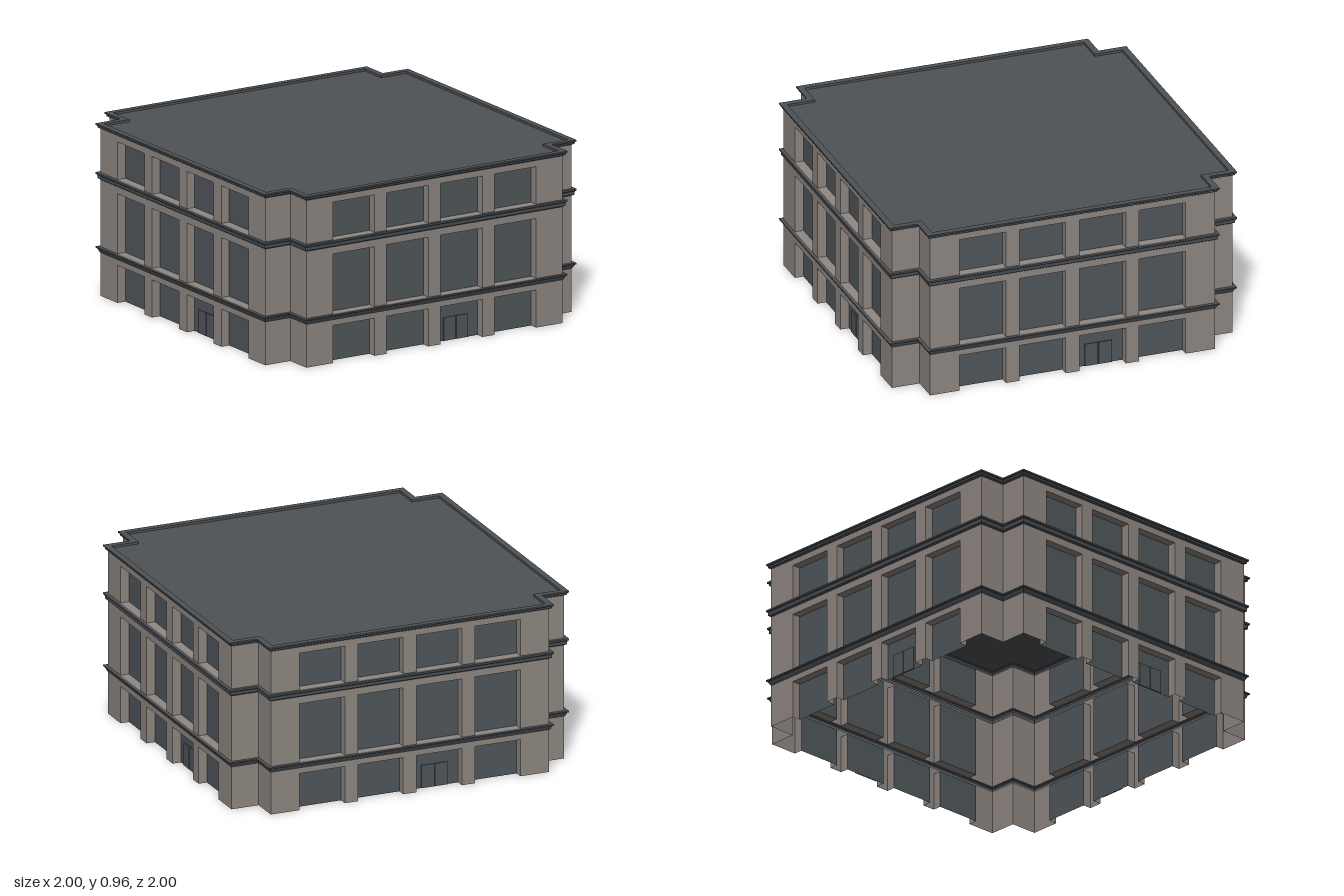
import * as THREE from 'three';

const WALL = 0.98, NOTCH = 0.82, DEPTH = 0.05, WIN_W = 0.267;
const WIN_X = [-0.517, -0.173, 0.173, 0.517];
// wall bottom, wall top, window top
const FLOORS = [
  { name: 'ground', y0: 0, y1: 0.24, win: 0.21 },
  { name: 'middle', y0: 0.275, y1: 0.65, win: 0.61 },
  { name: 'upper', y0: 0.69, y1: 0.935, win: 0.9 },
];

// Plan outline with stepped-in corners, pushed outwards by o
function ring(o) {
  const H = WALL + o, N = NOTCH + o, points = [];
  let quarter = [[-N, H], [N, H], [N, N]];
  for (let k = 0; k < 4; k++) {
    points.push(...quarter);
    quarter = quarter.map(([x, z]) => [z, -x]);
  }
  return points;
}

// Sweep an [offset, y] profile round the outline
function sweep(profile, skipFacades = false) {
  const pos = [];
  for (let j = 0; j < profile.length - 1; j++) {
    const [o0, y0] = profile[j], [o1, y1] = profile[j + 1];
    const low = ring(o0), high = ring(o1);
    for (let i = 0; i < 12; i++) {
      if (skipFacades && i % 3 === 0) continue;
      const n = (i + 1) % 12;
      const a = [low[i][0], y0, low[i][1]], b = [low[n][0], y0, low[n][1]];
      const c = [high[n][0], y1, high[n][1]], d = [high[i][0], y1, high[i][1]];
      pos.push(...a, ...b, ...c, ...a, ...c, ...d);
    }
  }
  const g = new THREE.BufferGeometry();
  g.setAttribute('position', new THREE.Float32BufferAttribute(pos, 3));
  g.computeVertexNormals();
  return g;
}

// Flat wall panel with openings rising from its lower edge
function panelGeometry({ y0, y1, win }) {
  const s = new THREE.Shape();
  s.moveTo(-NOTCH, y0);
  for (const x of WIN_X) {
    s.lineTo(x - WIN_W / 2, y0);
    s.lineTo(x - WIN_W / 2, win);
    s.lineTo(x + WIN_W / 2, win);
    s.lineTo(x + WIN_W / 2, y0);
  }
  s.lineTo(NOTCH, y0);
  s.lineTo(NOTCH, y1);
  s.lineTo(-NOTCH, y1);
  return new THREE.ShapeGeometry(s);
}

export function createModel() {
  const model = new THREE.Group();
  model.name = 'building';
  const material = (name, color) => {
    const m = new THREE.MeshStandardMaterial({ color, side: THREE.DoubleSide });
    m.name = name;
    return m;
  };
  const stone = material('stone', 0x8f8782);
  const glass = material('glass', 0x50565b);
  const slate = material('slate', 0x4e5256);
  const add = (parent, name, geometry, mat, x = 0, y = 0, z = 0) => {
    const m = new THREE.Mesh(geometry, mat);
    m.name = name;
    m.position.set(x, y, z);
    parent.add(m);
    return m;
  };

  // Four identical facades
  for (let k = 0; k < 4; k++) {
    const facade = new THREE.Group();
    facade.name = 'facade';
    facade.rotation.y = k * Math.PI / 2;
    model.add(facade);
    for (const f of FLOORS) {
      const h = f.win - f.y0, yc = f.y0 + h / 2, zc = WALL - DEPTH / 2;
      add(facade, f.name + 'Wall', panelGeometry(f), stone, 0, 0, WALL);
      for (const x of WIN_X) {
        add(facade, f.name + 'Window', new THREE.PlaneGeometry(WIN_W, h), glass, x, yc, WALL - DEPTH);
        for (const s of [-1, 1]) {
          const jamb = add(facade, 'windowJamb', new THREE.PlaneGeometry(DEPTH, h), stone, x + s * WIN_W / 2, yc, zc);
          jamb.rotation.y = -s * Math.PI / 2;
        }
        const head = add(facade, 'windowHead', new THREE.PlaneGeometry(WIN_W, DEPTH), stone, x, f.win, zc);
        head.rotation.x = Math.PI / 2;
        if (f.y0 > 0) {
          const sill = add(facade, 'windowSill', new THREE.PlaneGeometry(WIN_W, DEPTH), stone, x, f.y0, zc);
          sill.rotation.x = -Math.PI / 2;
        }
      }
    }
    // Thin double door set on the ground floor glazing
    for (const x of [0.125, 0.205]) {
      add(facade, 'doorLeaf', new THREE.BoxGeometry(0.076, 0.13, 0.006), glass, x, 0.066, WALL - DEPTH + 0.004);
    }
  }

  // Stepped corner walls
  for (const f of FLOORS) {
    add(model, f.name + 'CornerWalls', sweep([[0, f.y0], [0, f.y1]], true), stone);
  }

  // Moulded bands between floors and the roof cornice with its low kerb
  add(model, 'lowerCornice', sweep([[0, 0.24], [0.007, 0.252], [0.012, 0.264], [0.02, 0.268], [0.02, 0.275], [0, 0.275]]), slate);
  add(model, 'middleCornice', sweep([[0, 0.65], [0.011, 0.657], [0.013, 0.676], [0.02, 0.681], [0.02, 0.69], [0, 0.69]]), slate);
  add(model, 'roofCornice', sweep([[0, 0.935], [0.011, 0.941], [0.013, 0.951], [0.02, 0.955], [0.02, 0.963], [-0.015, 0.963], [-0.015, 0.95]]), slate);

  // Sunken flat roof
  const outline = new THREE.Shape(ring(-0.015).map(([x, z]) => new THREE.Vector2(x, -z)));
  const roof = add(model, 'roof', new THREE.ShapeGeometry(outline), slate, 0, 0.95, 0);
  roof.rotation.x = -Math.PI / 2;
  return model;
}
